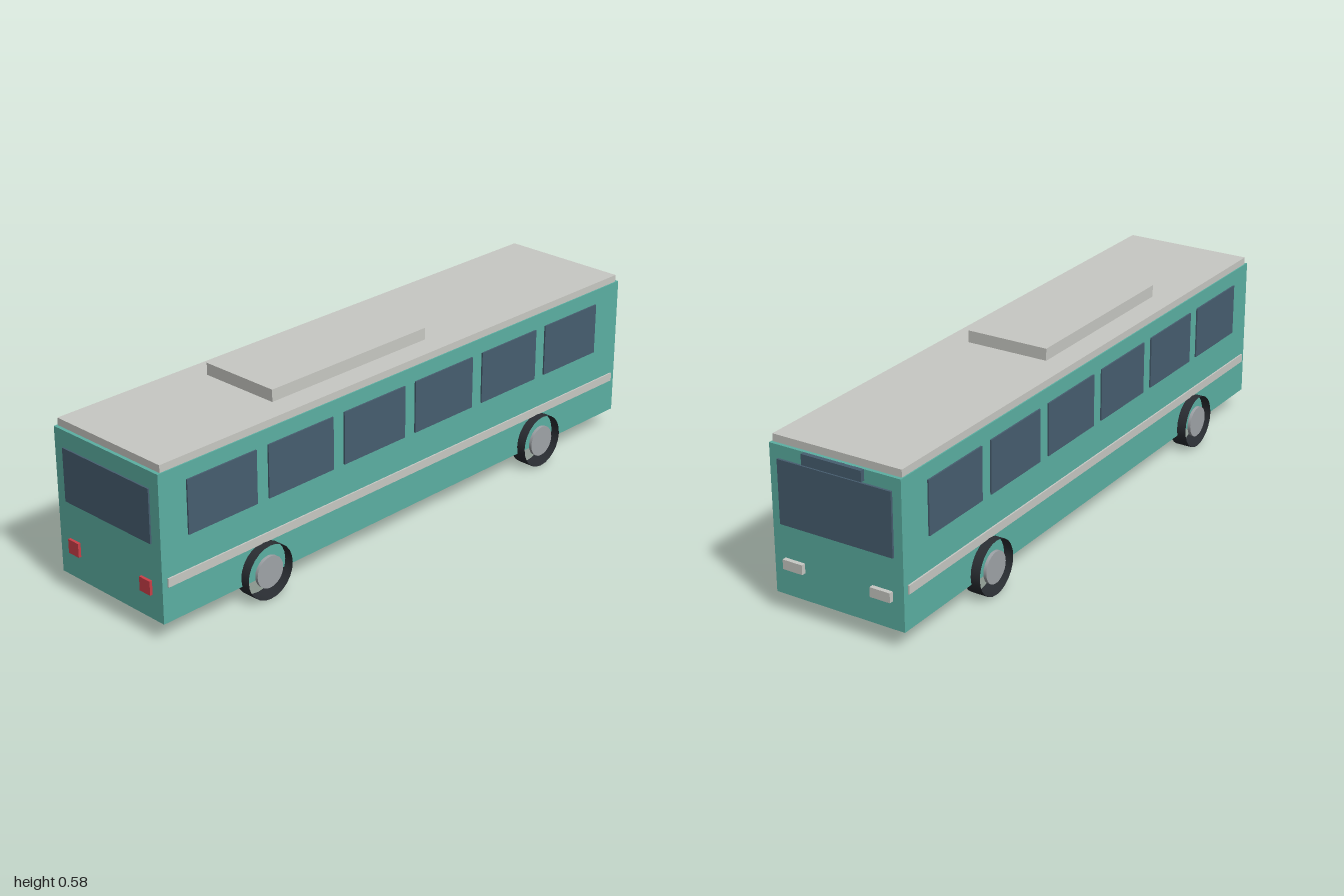
import * as THREE from 'three';

const mat = (name, color, side = THREE.FrontSide) => {
  const m = new THREE.MeshStandardMaterial({ color, side });
  m.name = name;
  return m;
};

export function createModel() {
  const teal = mat('teal paint', 0x5cb0a3);
  const pale = mat('pale grey', 0xc8c9c4);
  const glass = mat('dark glass', 0x475e70);
  const red = mat('red lamp', 0xcc3f48);
  const rubber = mat('black rubber', 0x2b2f34, THREE.DoubleSide);
  const metal = mat('hub metal', 0xa0a4a8);

  const bus = new THREE.Group();
  bus.name = 'bus';

  // Box given by its limits on each axis
  const box = (name, material, [x0, x1], [y0, y1], [z0, z1]) => {
    const mesh = new THREE.Mesh(new THREE.BoxGeometry(x1 - x0, y1 - y0, z1 - z0), material);
    mesh.position.set((x0 + x1) / 2, (y0 + y1) / 2, (z0 + z1) / 2);
    mesh.name = name;
    bus.add(mesh);
  };

  // Body, roof and roof unit
  box('body', teal, [-0.219, 0.219], [0.06, 0.517], [-0.986, 0.991]);
  box('roof', pale, [-0.215, 0.215], [0.517, 0.54], [-0.975, 0.98]);
  box('roofUnit', pale, [-0.137, 0.137], [0.54, 0.578], [-0.142, 0.493]);

  // End with red lamps
  box('rearWindow', glass, [-0.182, 0.182], [0.297, 0.464], [0.99, 0.996]);
  // End with windscreen, sign and headlights
  box('windscreen', glass, [-0.19, 0.19], [0.28, 0.477], [-0.993, -0.985]);
  box('destinationSign', glass, [-0.1, 0.1], [0.484, 0.517], [-1, -0.985]);

  for (const s of [-1, 1]) {
    const across = (a, b) => (s > 0 ? [a, b] : [-b, -a]);
    box('tailLamp', red, across(0.132, 0.176), [0.137, 0.181], [0.985, 1]);
    box('headlight', pale, across(0.115, 0.182), [0.146, 0.176], [-1, -0.98]);
    box('sideStripe', pale, across(0.217, 0.224), [0.17, 0.197], [-0.968, 0.973]);

    // Six windows along each side
    for (let i = 0; i < 6; i++) {
      const z = 0.765 - i * 0.301;
      box('sideWindow', glass, across(0.217, 0.224), [0.302, 0.469], [z - 0.128, z + 0.128]);
    }

    // Open tyre bands with a hub disc near the outer rim
    for (const z of [0.617, -0.584]) {
      const wheel = new THREE.Group();
      wheel.name = 'wheel';
      const tyre = new THREE.Mesh(new THREE.CylinderGeometry(0.086, 0.086, 0.056, 24, 1, true), rubber);
      tyre.name = 'tyre';
      const hub = new THREE.Mesh(new THREE.CylinderGeometry(0.05, 0.05, 0.01, 24), metal);
      hub.name = 'hub';
      hub.position.y = 0.021;
      wheel.add(tyre, hub);
      wheel.rotation.z = -s * Math.PI / 2;
      wheel.position.set(s * 0.222, 0.086, z);
      bus.add(wheel);
    }
  }
  return bus;
}
